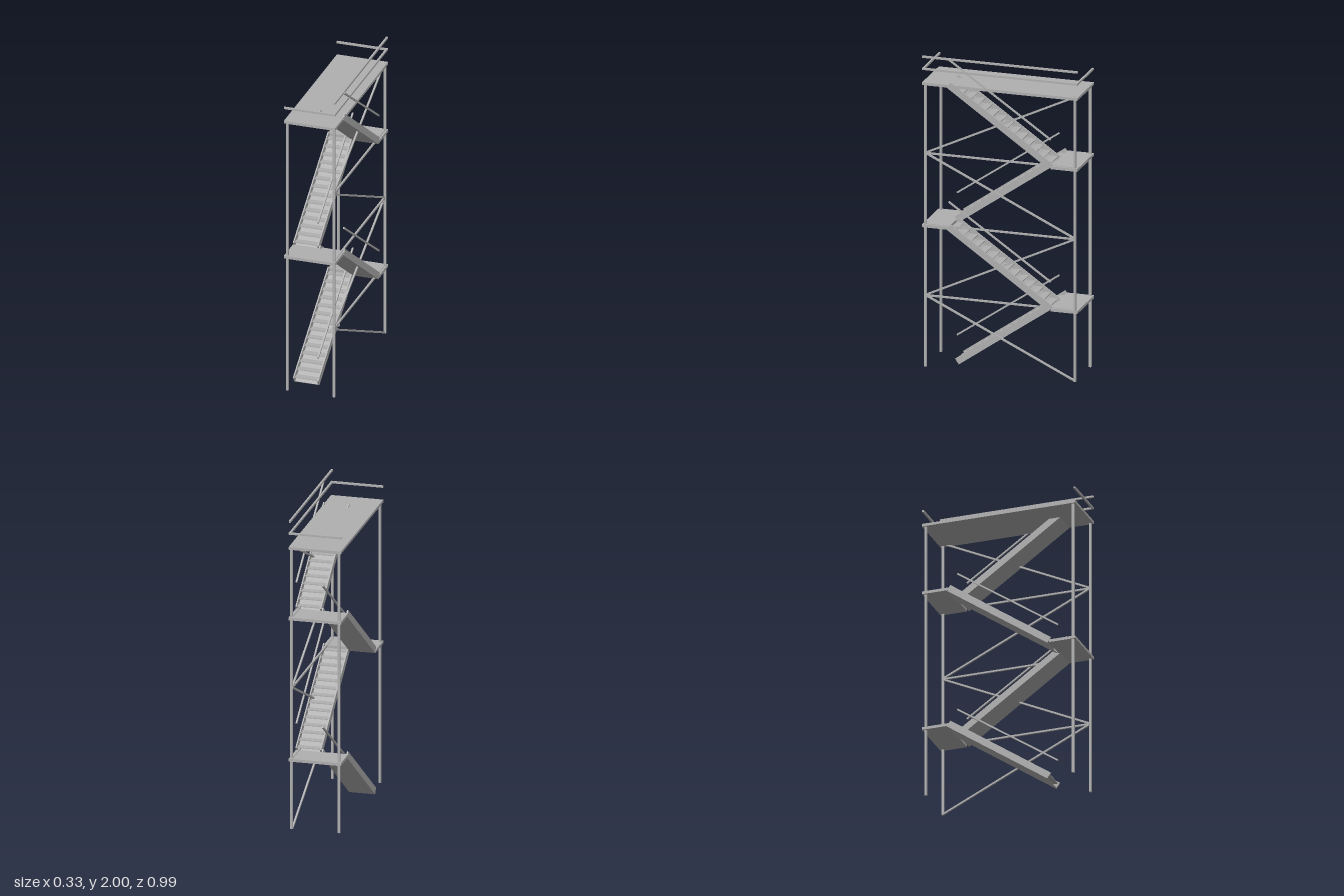
import * as THREE from 'three';

export function createModel() {
  const root = new THREE.Group();
  root.name = 'stairTower';
  const steel = new THREE.MeshStandardMaterial({ color: 0xb0b0b0 });
  steel.name = 'galvanisedSteel';

  const box = (name, w, h, d, x, y, z, parent = root) => {
    const m = new THREE.Mesh(new THREE.BoxGeometry(w, h, d), steel);
    m.name = name;
    m.position.set(x, y, z);
    parent.add(m);
    return m;
  };
  // Square bar between two points
  const bar = (name, a, b, size, parent = root) => {
    const p = new THREE.Vector3(...a), q = new THREE.Vector3(...b);
    const m = box(name, size, size, p.distanceTo(q), 0, 0, 0, parent);
    m.position.copy(p).lerp(q, 0.5);
    m.lookAt(q);
    return m;
  };

  const level = i => 0.0185 + i * 0.4533; // walking height of each storey
  const END = 0.495, POST_X = 0.149, POST_Z = 0.476, RUN = 0.325;
  const LEFT = -0.166, RIGHT = 0.162, WIDTH = RIGHT - LEFT, MID = (LEFT + RIGHT) / 2;

  // Corner posts
  for (const x of [-POST_X, POST_X])
    for (const z of [-POST_Z, POST_Z]) box('post', 0.015, 1.8, 0.015, x, 0.92, z);

  // Landings alternate back, front, back, with the full deck on top
  for (let i = 1; i <= 3; i++) {
    const side = i % 2 ? -1 : 1;
    box('landing', WIDTH, 0.018, END - RUN, MID, level(i) - 0.0075, side * (END + RUN) / 2);
  }
  box('topDeck', WIDTH, 0.017, END * 2, MID, level(4) - 0.0085, 0);

  // Stair flights, zigzagging between the two halves
  const THICK = 0.042, STEPS = 14, W = 0.163;
  for (let i = 0; i < 4; i++) {
    const dir = i % 2 ? 1 : -1;        // climbing direction in z
    const cx = dir * W / 2;
    const a = new THREE.Vector3(cx, level(i), -dir * RUN);
    const b = new THREE.Vector3(cx, level(i + 1), dir * RUN);
    const length = a.distanceTo(b);

    const flight = new THREE.Group();
    flight.name = 'stairFlight';
    root.add(flight);

    const frame = new THREE.Group();
    frame.name = 'stairFrame';
    frame.position.copy(a).lerp(b, 0.5);
    frame.lookAt(b);
    flight.add(frame);
    for (const s of [-1, 1])
      box('stringer', 0.008, THICK, length, s * (W / 2 - 0.004), 0, 0, frame);
    box('undersidePanel', W - 0.016, 0.004, length, 0, -THICK / 2 + 0.002, 0, frame);

    for (let k = 0; k < STEPS; k++) {
      const p = a.clone().lerp(b, (k + 0.5) / STEPS);
      box('tread', W - 0.016, 0.005, 0.044, p.x, p.y, p.z, flight);
    }

    // Single handrail on the flight's +x side
    const rx = dir > 0 ? 0.159 : -0.006;
    bar('handrail', [rx, a.y + 0.17, a.z], [rx, b.y + 0.162, b.z], 0.01, flight);
  }

  // Zigzag braces and horizontal ties on the +x side
  const BX = 0.144;
  for (let i = 0; i < 4; i++) {
    const s = i % 2 ? 1 : -1;
    bar('diagonalBrace', [BX, level(i) + 0.003, s * POST_Z], [BX, level(i + 1), -s * POST_Z], 0.011);
    if (i) bar('horizontalTie', [BX, level(i), -POST_Z], [BX, level(i), POST_Z], 0.011);
  }

  // Guard rails above the top deck
  const RX = 0.155, RY = 1.917;
  for (const y of [RY, 1.994]) bar('sideGuardRail', [RX, y, -END], [RX, y, END], 0.012);
  for (const s of [-1, 1])
    bar('endGuardRail', [LEFT, RY, s * 0.489], [RIGHT, RY, s * 0.489], 0.012);

  return root;
}
